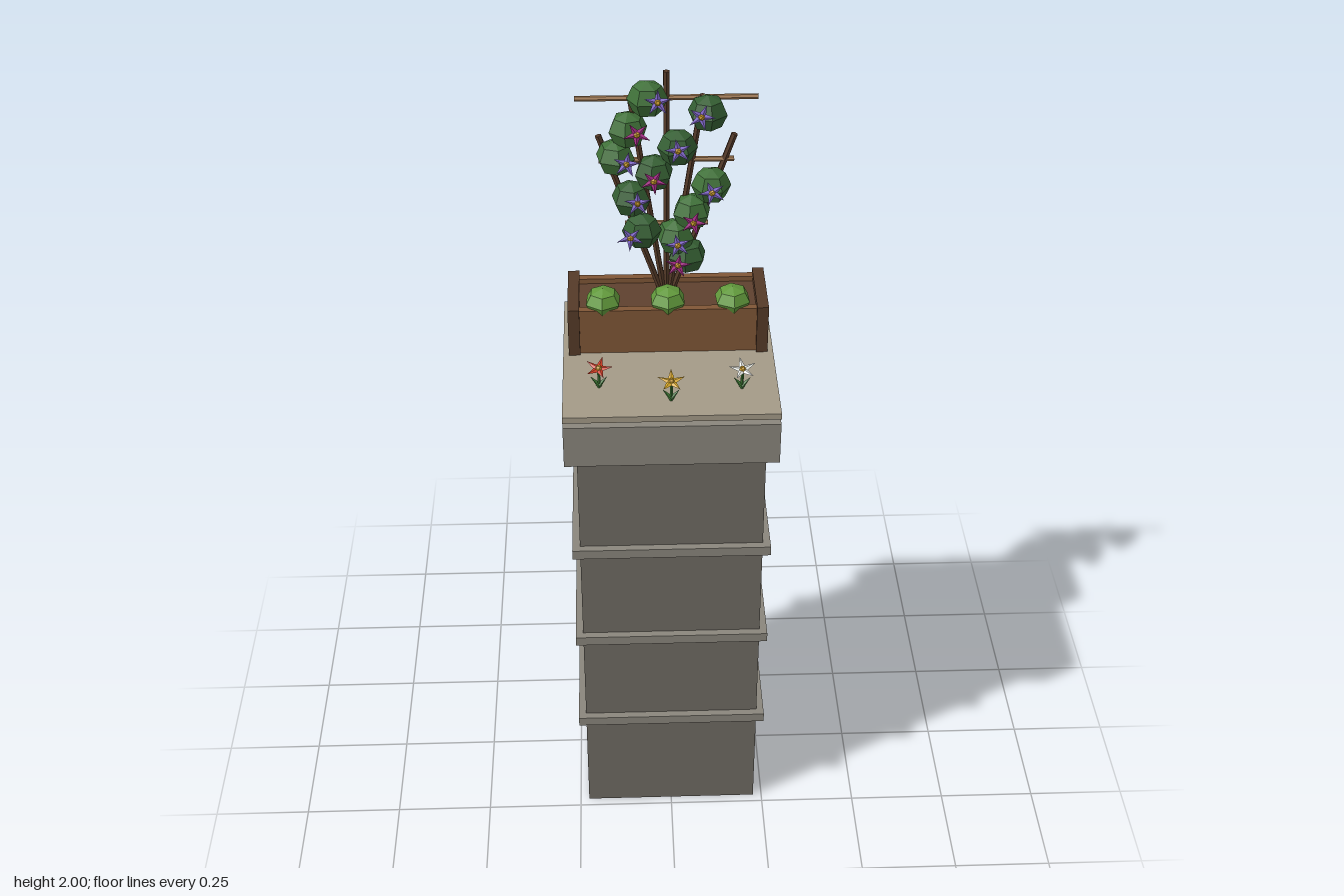
import * as THREE from 'three';

const mat = (color) => new THREE.MeshStandardMaterial({ color, flatShading: true });
const M = {
  stone: mat(0x6f6a62), trim: mat(0x8a867c), slab: mat(0xa39a87),
  wood: mat(0x7f5636), darkWood: mat(0x553a28), soil: mat(0x5e412e), bar: mat(0xa07850),
  leafA: mat(0x3f7038), leafB: mat(0x355f33), herb: mat(0x629a3c), stem: mat(0x3f7a35),
  violet: mat(0x8a6fd8), magenta: mat(0xb03090), red: mat(0xd03a22),
  yellow: mat(0xd8a828), white: mat(0xe4e6e0), heart: mat(0xc89a28),
};

function add(parent, name, geo, material, x = 0, y = 0, z = 0) {
  const mesh = new THREE.Mesh(geo, material);
  mesh.name = name;
  mesh.position.set(x, y, z);
  parent.add(mesh);
  return mesh;
}

// Box given by its lower and upper corners
function box(parent, name, material, [x0, y0, z0], [x1, y1, z1]) {
  return add(parent, name, new THREE.BoxGeometry(x1 - x0, y1 - y0, z1 - z0), material,
    (x0 + x1) / 2, (y0 + y1) / 2, (z0 + z1) / 2);
}

// Thin round rod between two points
function rod(parent, name, material, a, b, r) {
  const A = new THREE.Vector3(...a), B = new THREE.Vector3(...b);
  const d = B.clone().sub(A);
  const mesh = add(parent, name, new THREE.CylinderGeometry(r, r, d.length(), 6), material);
  mesh.position.copy(A).add(B).multiplyScalar(0.5);
  mesh.quaternion.setFromUnitVectors(new THREE.Vector3(0, 1, 0), d.normalize());
  return mesh;
}

// Five pointed petals around a small heart, opening along +z
function blossom(name, material, r) {
  const flower = new THREE.Group();
  flower.name = name;
  const petal = new THREE.ConeGeometry(r * 0.3, r, 4);
  petal.translate(0, r * 0.5, 0);
  petal.scale(1, 1, 0.45);
  petal.rotateX(0.2);
  for (let i = 0; i < 5; i++) {
    add(flower, 'petal', petal, material).rotation.z = i * Math.PI * 2 / 5;
  }
  add(flower, 'flowerHeart', new THREE.SphereGeometry(r * 0.24, 6, 4), M.heart, 0, 0, r * 0.08);
  return flower;
}

function makePillar() {
  const g = new THREE.Group();
  g.name = 'pillar';
  box(g, 'shaft', M.stone, [-0.227, 0, -0.227], [0.227, 1.176, 0.227]);
  for (const y of [0.317, 0.605, 0.893]) {
    box(g, 'band', M.trim, [-0.246, y - 0.013, -0.246], [0.246, y + 0.013, 0.246]);
  }
  box(g, 'cap', M.trim, [-0.257, 1.176, -0.257], [0.257, 1.288, 0.257]);
  box(g, 'topSlab', M.slab, [-0.257, 1.302, -0.257], [0.257, 1.318, 0.257]);
  return g;
}

function makePlanter() {
  const g = new THREE.Group();
  g.name = 'planter';
  for (const z of [-0.185, -0.036]) {
    box(g, 'sideBoard', M.wood, [-0.22, 1.318, z], [0.22, 1.438, z + 0.02]);
  }
  for (const s of [-1, 1]) {
    const end = new THREE.BoxGeometry(0.028, 0.127, 0.188);
    add(g, 'endBoard', end, M.darkWood, s * 0.229, 1.3815, -0.101);
  }
  box(g, 'soil', M.soil, [-0.216, 1.318, -0.166], [0.216, 1.425, -0.035]);

  // Herbs along the front edge
  const herb = new THREE.SphereGeometry(0.046, 6, 4);
  herb.scale(1, 0.75, 1);
  for (const x of [-0.157, 0, 0.157]) {
    add(g, 'herb', herb, M.herb, x, 1.447, -0.049).rotation.y = Math.PI / 6 + x * 0.4;
  }
  return g;
}

function makeTrellis() {
  const g = new THREE.Group();
  g.name = 'trellis';
  const z = -0.145;
  for (const [x, y] of [[-0.16, 1.84], [-0.085, 1.94], [0, 2], [0.085, 1.94], [0.16, 1.84]]) {
    rod(g, 'pole', M.darkWood, [x * 0.05, 1.4, z], [x, y, z], 0.008);
  }
  for (const [y, w] of [[1.605, 0.1], [1.775, 0.16], [1.934, 0.213]]) {
    rod(g, 'crossbar', M.bar, [-w, y, z], [w, y, z], 0.0065);
  }
  return g;
}

function makeVine() {
  const g = new THREE.Group();
  g.name = 'climbingVine';
  const clumps = [[-0.045, 1.945], [0.095, 1.905], [-0.09, 1.863], [0.025, 1.82], [-0.12, 1.795],
    [-0.03, 1.75], [0.105, 1.72], [-0.085, 1.685], [0.06, 1.645], [-0.06, 1.6], [0.02, 1.58],
    [0.05, 1.525]];
  const clump = new THREE.SphereGeometry(0.048, 6, 4);
  clumps.forEach(([x, y], i) => {
    const leaf = add(g, 'leafClump', clump, i % 2 ? M.leafB : M.leafA, x, y, -0.118 - (i % 3) * 0.005);
    leaf.rotation.y = i * 0.7;
    leaf.scale.set(1, 0.92, 1);
  });
  const flowers = [[-0.022, 1.958], [0.078, 1.92], [-0.07, 1.878], [0.025, 1.835], [-0.095, 1.803],
    [-0.032, 1.757], [0.105, 1.725], [-0.07, 1.7], [0.062, 1.645], [-0.088, 1.607], [0.025, 1.585],
    [0.025, 1.53]];
  flowers.forEach(([x, y], i) => {
    const f = blossom('vineFlower', [2, 5, 8, 11].includes(i) ? M.magenta : M.violet, 0.034);
    f.position.set(x, y, -0.072);
    f.rotation.z = i * 0.9;
    g.add(f);
  });
  return g;
}

// Small flower standing on the slab
function makeGroundFlower(name, material, x, z, turn) {
  const g = new THREE.Group();
  g.name = name;
  rod(g, 'stem', M.stem, [x, 1.316, z - 0.008], [x, 1.375, z], 0.004);
  for (const s of [-1, 1]) {
    const leaf = add(g, 'stemLeaf', new THREE.ConeGeometry(0.007, 0.032, 4), M.stem,
      x + s * 0.01, 1.338, z - 0.006);
    leaf.rotation.z = -s * 0.7;
  }
  const f = blossom('bloom', material, 0.035);
  f.position.set(x, 1.375, z);
  f.rotation.set(-Math.PI / 2 + 0.3, 0, turn);
  g.add(f);
  return g;
}

export function createModel() {
  const model = new THREE.Group();
  model.name = 'pillarGarden';
  model.add(
    makePillar(), makePlanter(), makeTrellis(), makeVine(),
    makeGroundFlower('redFlower', M.red, -0.17, 0.14, -0.3),
    makeGroundFlower('yellowFlower', M.yellow, 0, 0.2, 0),
    makeGroundFlower('whiteFlower', M.white, 0.17, 0.155, 0.15),
  );
  return model;
}
